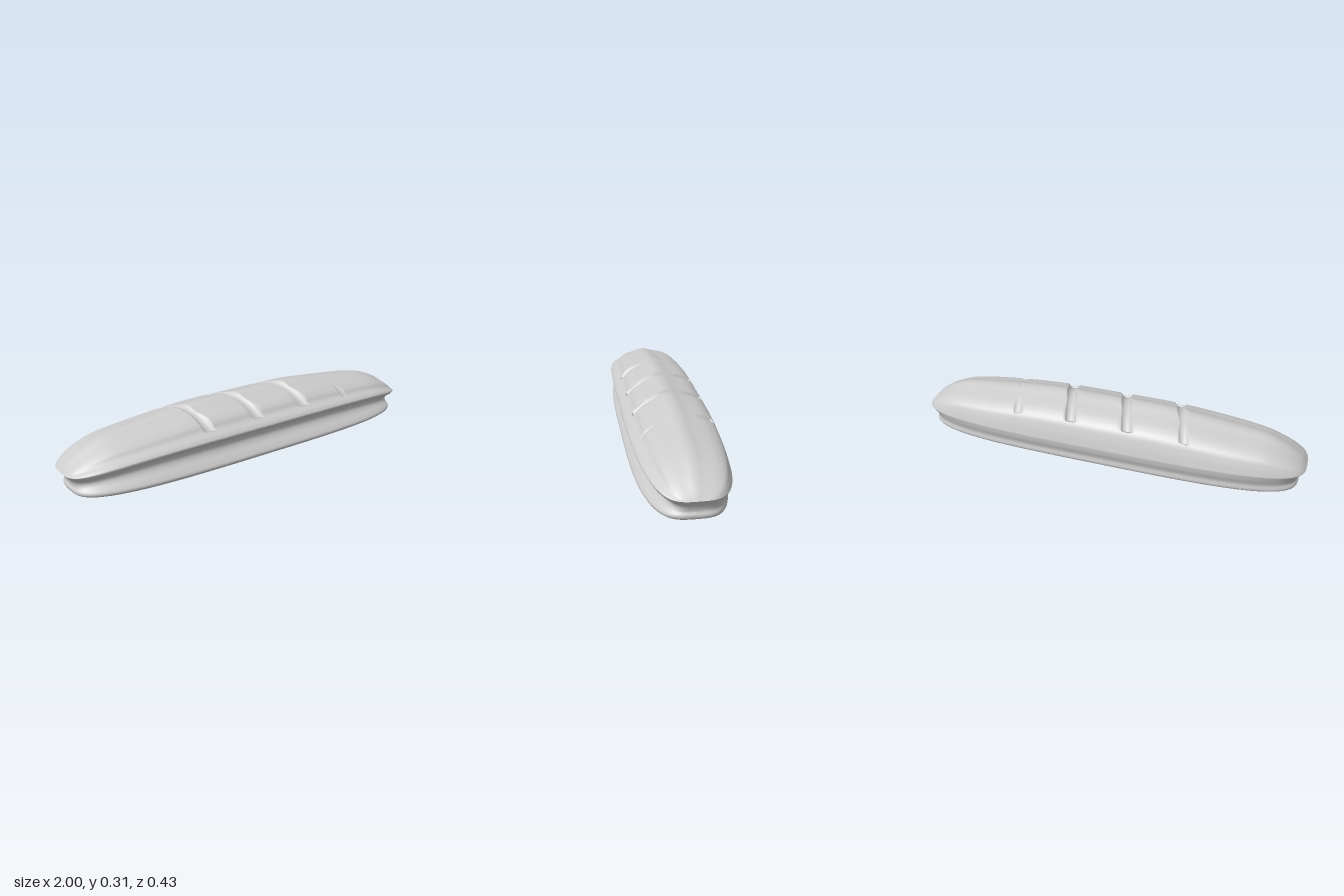
import * as THREE from 'three';

const SHEAR = 0.3;                          // slant of the slashes across the loaf
const SLASHES = [-0.375, -0.09, 0.2, 0.485];
const PEAK = 0.305, NOSE = 0.125;

// Half-loop at mid length, front bottom over the crown to back bottom: z, y, y at the loaf's ends
const front = [[0.14, 0, 0], [0.2, 0.023, 0.025], [0.214, 0.04, 0.04], [0.2, 0.062, 0.055], [0.173, 0.092, 0.07],
  [0.164, 0.115, 0.08], [0.175, 0.145, 0.095], [0.21, 0.17, 0.11], [0.218, 0.182, NOSE]];
const crown = [[0.205, 0.198], [0.17, 0.22], [0.15, 0.245], [0.12, 0.265], [0.06, 0.287], [0.015, 0.304], [-0.015, 0.304],
  [-0.06, 0.29], [-0.14, 0.265], [-0.18, 0.235], [-0.2, 0.19]];
const back = [[-0.216, 0.13, NOSE], [-0.211, 0.1, 0.095], [-0.2, 0.065, 0.06], [-0.202, 0.035, 0.035],
  [-0.185, 0.018, 0.018], [-0.135, 0, 0]];

// Crest height along the length, and half length at each end height
const crest = [[0, 0.305], [0.25, 0.305], [0.4, 0.296], [0.5, 0.285], [0.6, 0.274], [0.8, 0.247], [0.9, 0.207], [0.97, 0.16], [1, NOSE]];
const reach = [[0, 0.85], [0.025, 0.955], [0.045, 0.972], [0.065, 0.965], [0.095, 0.975], [NOSE, 1]];

// Smooth interpolation through a short table
function curve(table, v) {
  const last = table.length - 1;
  const x = Math.min(Math.max(v, table[0][0]), table[last][0]);
  let k = 0;
  while (k < last - 1 && x > table[k + 1][0]) k++;
  const slope = (i) => {
    const a = table[Math.max(i - 1, 0)], b = table[Math.min(i + 1, last)];
    return (b[1] - a[1]) / (b[0] - a[0]);
  };
  const [x0, y0] = table[k], [x1, y1] = table[k + 1];
  const h = x1 - x0, t = (x - x0) / h, t2 = t * t, t3 = t2 * t;
  return y0 * (2 * t3 - 3 * t2 + 1) + y1 * (3 * t2 - 2 * t3)
    + h * (slope(k) * (t3 - 2 * t2 + t) + slope(k + 1) * (t3 - t2));
}

// Dense profile rows: lower rows move to their end height, crown rows follow the crest
function makeRows() {
  const spline = (pts, n) => new THREE.CatmullRomCurve3(
    pts.map(([z, y, e = NOSE]) => new THREE.Vector3(z, y, e))).getSpacedPoints(n);
  const f = front[front.length - 1], b = back[0];
  const tag = (points, upper) => points.map((p) => {
    const lip = p.x > 0 ? f[1] : b[1];
    return { z: p.x, y: p.y, end: p.z, upper, lip, frac: (p.y - lip) / (PEAK - lip) };
  });
  const top = tag(spline([f, ...crown, b], 90), true);
  // ease the lip height from front to back so the crown stays continuous
  top.forEach((r) => {
    r.lip = THREE.MathUtils.lerp(b[1], f[1], THREE.MathUtils.smoothstep(r.z, b[0], f[0]));
    r.frac = (r.y - r.lip) / (PEAK - r.lip);
  });
  return [...tag(spline(front, 32), false), ...top.slice(1, -1), ...tag(spline(back, 24), false)];
}

// Stations along the length: close together at the ends and in the slashes
function makeStations() {
  const list = [];
  for (let i = 0; i <= 90; i++) list.push(-Math.cos(Math.PI * i / 90));
  for (const c of SLASHES) for (let i = -8; i <= 8; i++) list.push(c + 0.0305 * i / 8);
  list.sort((a, b) => a - b);
  return list.filter((v, i) => i === 0 || v - list[i - 1] > 1e-6);
}

function surfacePoint(s, row) {
  const shear = SHEAR * (1 - THREE.MathUtils.smoothstep(Math.abs(s), 0.6, 0.95));
  const half = row.upper ? 1 : curve(reach, row.end);
  let x = s * half, z = 0, a = 0;
  for (let k = 0; k < 5; k++) {
    a = Math.min(Math.abs(x / half), 1);
    z = row.z * Math.pow(1 - Math.pow(a, 3.5), 1 / 3.5);
    x = s * half + shear * z;
  }
  const drop = Math.pow(a, 4);
  if (!row.upper) return [x, THREE.MathUtils.lerp(row.y, row.end, drop), z];
  const lip = THREE.MathUtils.lerp(row.lip, NOSE, drop);
  let y = lip + row.frac * (curve(crest, a) - lip);
  // Round-bottomed diagonal slashes cut into the crown
  for (const c of SLASHES) {
    const u = Math.abs(s - c);
    if (u > 0.03 || Math.abs(z) > 0.172) continue;
    const bed = 0.285 - (z > 0 ? 3 : 2.2) * z * z;
    y = Math.min(y, bed + 0.03 - Math.sqrt(0.0009 - u * u));
  }
  return [x, y, z];
}

function mesh(name, positions, indices, material) {
  const g = new THREE.BufferGeometry();
  g.setAttribute('position', new THREE.Float32BufferAttribute(positions, 3));
  g.setIndex(indices);
  g.computeVertexNormals();
  const m = new THREE.Mesh(g, material);
  m.name = name;
  return m;
}

export function createModel() {
  const group = new THREE.Group();
  group.name = 'breadLoaf';
  const crust = new THREE.MeshStandardMaterial({ color: 0xcccccc });
  crust.name = 'crust grey';

  const rows = makeRows(), stations = makeStations(), n = rows.length;
  const body = [], bodyIndex = [], base = [], baseIndex = [];
  stations.forEach((s, i) => {
    const section = rows.map((row) => surfacePoint(s, row));
    section.forEach((p) => body.push(...p));
    base.push(...section[0], ...section[n - 1]);
    if (i === stations.length - 1) return;
    for (let j = 0; j < n - 1; j++) {
      const a = i * n + j, b = a + n;
      bodyIndex.push(a, b, b + 1, a, b + 1, a + 1);
    }
    const q = i * 2;
    baseIndex.push(q, q + 1, q + 3, q, q + 3, q + 2);
  });

  // Crust with the side split and slashes, and the flat underside
  group.add(mesh('crust', body, bodyIndex, crust), mesh('underside', base, baseIndex, crust));
  return group;
}
